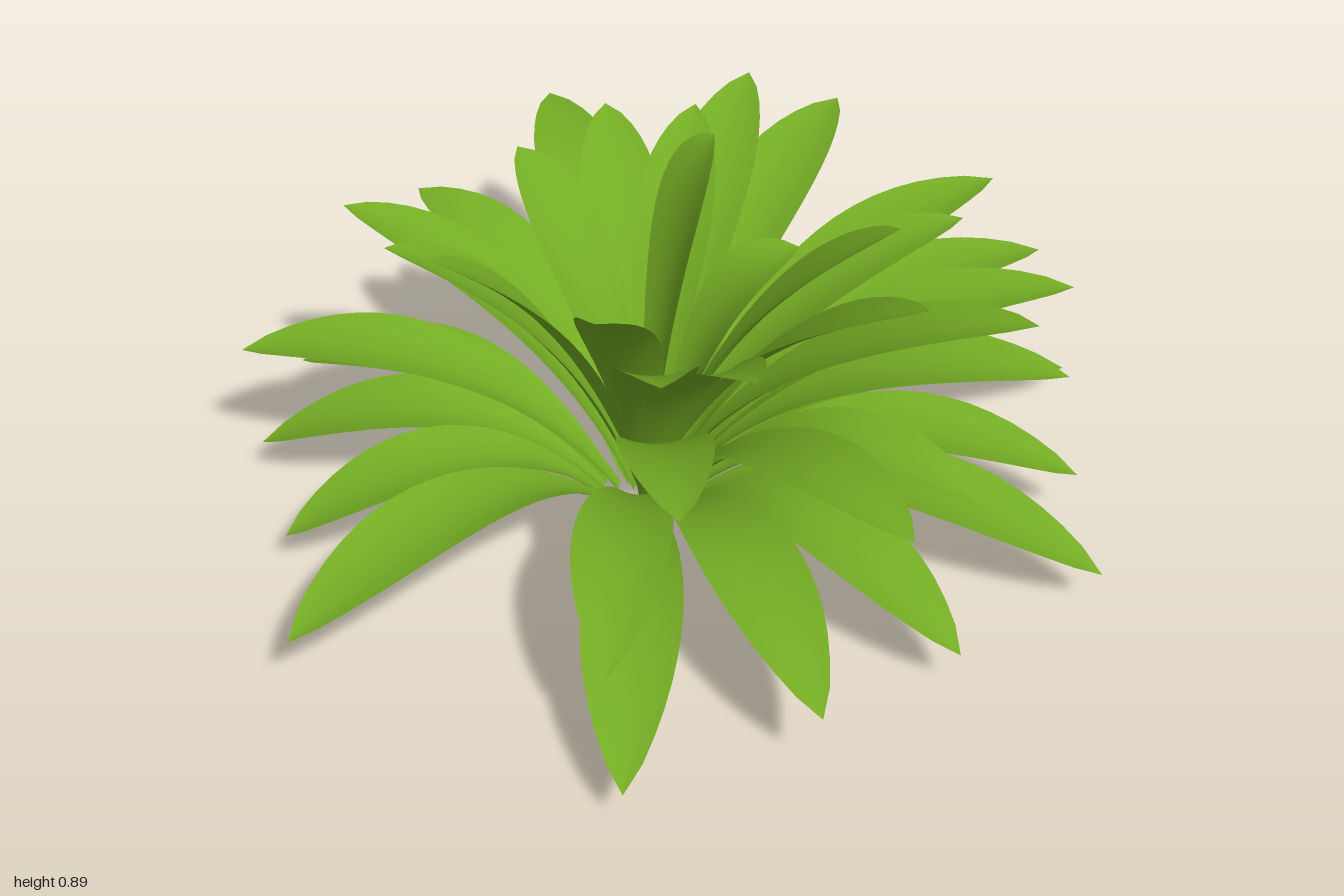
import * as THREE from 'three';

// Leaf tips [x, y, z, roll], from the low outer whorl to the upright heart
const LOW = [
  [-1, .17, .23], [-.85, .1, -.16], [-.77, .1, -.49], [-.58, .12, -.71], [-.12, .2, -.85],
  [.29, .1, -.8], [.5, .1, -.67], [.9, .1, -.17], [1, .08, .14], [.75, .13, .53],
  [.62, .1, .8], [.21, .11, .87], [-.18, .19, .96], [-.58, .11, .88],
];
const MIDDLE = [
  [-.79, .36, -.5], [-.27, .52, -.68], [-.15, .37, -.81, .5], [.21, .49, -.96], [.75, .56, -.5],
  [.86, .3, -.23], [.89, .54, -.05], [.98, .36, .03], [.71, .57, .09], [.84, .49, .34],
  [.68, .44, .55], [.38, .3, .67], [.06, .49, .89], [-.54, .28, .74], [-.36, .58, .71],
];
const UPPER = [
  [-.52, .65, -.51], [-.56, .74, -.19], [-.1, .68, -.5], [.16, .68, -.57], [.52, .68, -.53],
  [.29, .74, -.38], [.52, .68, .63], [.34, .83, .38], [.23, .83, .65], [-.14, .77, .62],
  [-.29, .74, .51], [-.33, .78, .31], [-.54, .81, -.01], [.33, .57, .01], [.14, .89, -.04],
];
const CENTRE = new THREE.Vector3(-.03, 0, -.03);
const ROWS = 20, COLS = 6;

// One arching, slightly channelled blade from the crown to its tip
function leafGeometry([x, y, z, roll = 0]) {
  const out = new THREE.Vector3(x, 0, z).sub(CENTRE);
  const reach = out.length();
  out.normalize();
  const side = new THREE.Vector3(-out.z, 0, out.x);
  const start = .11 - .125 * y;
  const steepen = .85 * Math.max(0, .4 - reach); // short heart leaves stand taller
  const spine = new THREE.QuadraticBezierCurve(
    new THREE.Vector2(start, 0),
    new THREE.Vector2(reach * (.47 - .13 * y), .31 + .6 * y - .3 * y * y + steepen),
    new THREE.Vector2(reach, y));
  const halfWidth = .065 + .032 * Math.min(1, reach);
  const pos = [], index = [];
  for (let i = 0; i <= ROWS; i++) {
    const t = i / ROWS;
    const p = spine.getPoint(t), d = spine.getTangent(t);
    const belly = Math.max(0, Math.sin(Math.PI * Math.pow(t, 1.65)));
    const w = halfWidth * Math.pow(belly, .74) + .02 * (1 - t);
    const cup = .3 - .14 * t;
    for (let j = 0; j <= COLS; j++) {
      const s = j / COLS * 2 - 1;
      const across = s * w * Math.cos(roll * t);
      const lift = cup * w * s * s - s * w * Math.sin(roll * t);
      const v = CENTRE.clone()
        .addScaledVector(out, p.x - d.y * lift)
        .addScaledVector(side, across);
      pos.push(v.x, p.y + d.x * lift, v.z);
      if (i < ROWS && j < COLS) {
        const a = i * (COLS + 1) + j, b = a + COLS + 1;
        index.push(a, a + 1, b, a + 1, b + 1, b);
      }
    }
  }
  const g = new THREE.BufferGeometry();
  g.setAttribute('position', new THREE.Float32BufferAttribute(pos, 3));
  g.setIndex(index);
  g.computeVertexNormals();
  return g;
}

export function createModel() {
  const model = new THREE.Group();
  model.name = 'rosettePlant';
  const green = new THREE.MeshStandardMaterial({ color: 0x74ac24, side: THREE.DoubleSide });
  green.name = 'leafGreen';

  // Three whorls of leaves
  for (const [name, tips] of [['lowLeaves', LOW], ['middleLeaves', MIDDLE], ['upperLeaves', UPPER]]) {
    const whorl = new THREE.Group();
    whorl.name = name;
    for (const tip of tips) {
      const leaf = new THREE.Mesh(leafGeometry(tip), green);
      leaf.name = 'leaf';
      whorl.add(leaf);
    }
    model.add(whorl);
  }
  return model;
}
